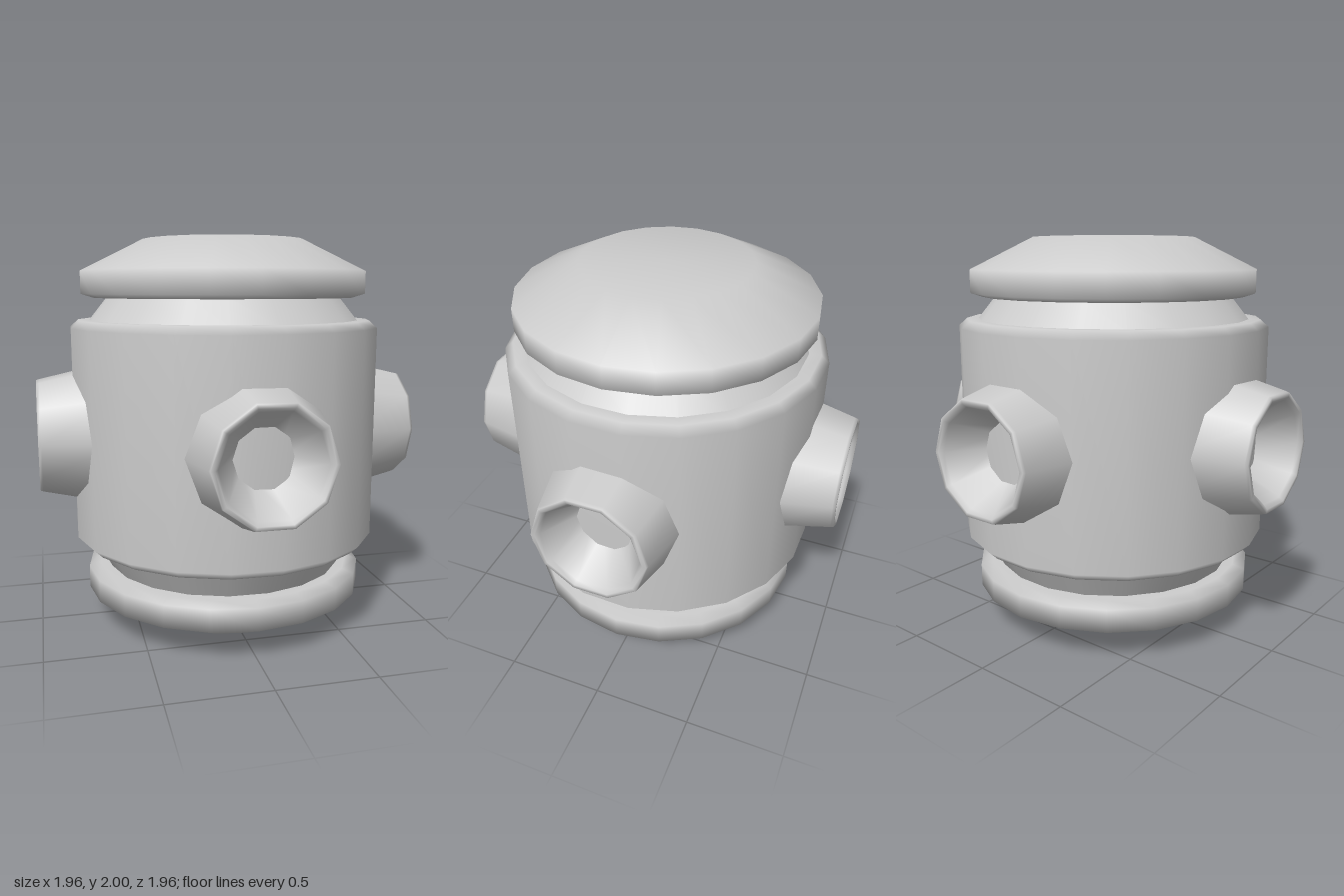
import * as THREE from 'three';

const material = new THREE.MeshStandardMaterial({ color: 0xcccccc });

// Turned part from a [radius, y] profile listed bottom to top
function turned(name, profile, sides, start = 0) {
  const points = profile.map(([r, y]) => new THREE.Vector2(r, y));
  const mesh = new THREE.Mesh(new THREE.LatheGeometry(points, sides, start), material);
  mesh.name = name;
  return mesh;
}

export function createModel() {
  const group = new THREE.Group();
  const sides = 20;
  const twist = THREE.MathUtils.degToRad(7.3);

  // Main drum with bevelled rims
  group.add(turned('drum', [
    [0, 0.435], [0.70, 0.435], [0.765, 0.435], [0.806, 0.475],
    [0.806, 1.555], [0.765, 1.592], [0.70, 1.592], [0, 1.592],
  ], sides, twist));

  // Tapered necks between the drum and the caps
  group.add(turned('upperNeck', [[0.71, 1.585], [0.61, 1.71]], sides, twist));
  group.add(turned('lowerNeck', [[0.63, 0.295], [0.71, 0.44]], sides, twist));

  // Matching end caps, the lower one mirrored about mid height
  const cap = [
    [0, 1.705], [0.55, 1.705], [0.68, 1.705], [0.742, 1.725],
    [0.742, 1.84], [0.42, 2], [0, 2],
  ];
  group.add(turned('topCap', cap, sides));
  group.add(turned('bottomCap', cap.map(([r, y]) => [r, 2 - y]).reverse(), sides));

  // Four hollow ports around the drum
  const port = [
    [0.375, 0.6], [0.293, 0.965], [0.288, 0.98], [0.268, 0.98],
    [0.25, 0.96], [0.12, 0.75], [0, 0.71],
  ];
  for (let i = 0; i < 4; i++) {
    const mesh = turned('port' + (i + 1), port, 10, Math.PI / 2);
    mesh.geometry.rotateX(Math.PI / 2);
    mesh.rotation.y = i * Math.PI / 2;
    mesh.position.y = 1.008;
    group.add(mesh);
  }
  return group;
}
